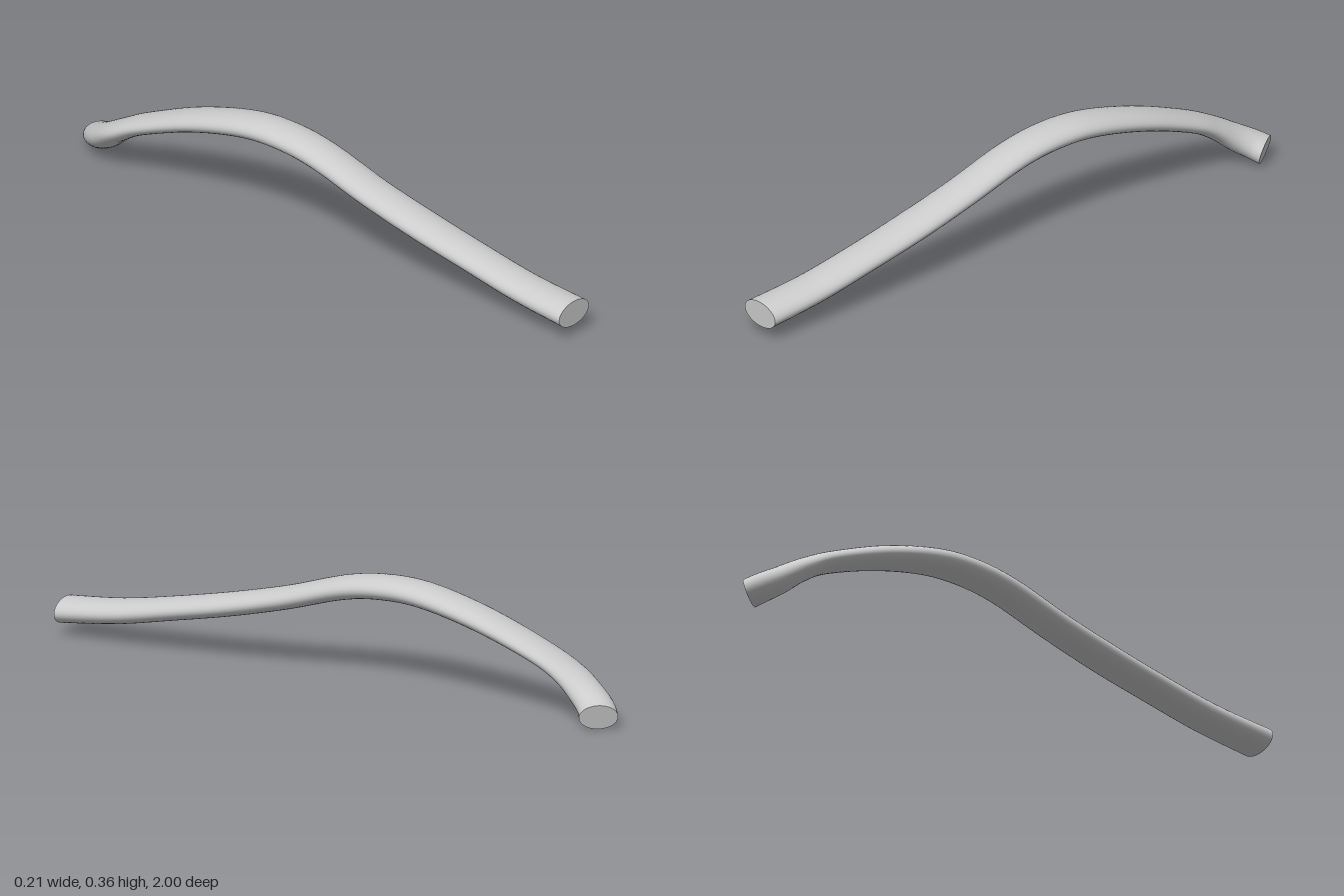
import * as THREE from 'three';

// Stations along the bar: x, y, z, half width, half height, yaw and pitch in degrees
const STATIONS = [
  [-0.031, 0.079, 1.0, 0.073, 0.041, 0, 0],
  [-0.027, 0.103, 0.8, 0.070, 0.038, 0, 9],
  [-0.024, 0.143, 0.6, 0.069, 0.036, 0, 12],
  [-0.023, 0.187, 0.4, 0.070, 0.036, 0, 14],
  [-0.023, 0.239, 0.2, 0.068, 0.036, 0, 16],
  [-0.021, 0.301, 0.0, 0.068, 0.037, 0, 13],
  [-0.019, 0.323, -0.15, 0.069, 0.038, 0, 0],
  [-0.017, 0.316, -0.3, 0.070, 0.037, 0, -8],
  [-0.016, 0.268, -0.5, 0.070, 0.034, 0, -18],
  [-0.018, 0.193, -0.7, 0.068, 0.031, 2, -24],
  [-0.016, 0.140, -0.8, 0.066, 0.034, 9, -29],
  [0.004, 0.093, -0.87, 0.061, 0.040, 26, -30],
  [0.033, 0.064, -0.918, 0.060, 0.042, 45, -22],
  [0.066, 0.046, -0.946, 0.061, 0.042, 55, -14],
];
const SIDES = 32, STEPS = 78;

// Smooth interpolation of a whole station row
function stationAt(t) {
  const last = STATIONS.length - 1;
  const i = Math.min(Math.floor(t * last), last - 1);
  const f = t * last - i;
  const row = (k) => STATIONS[Math.max(0, Math.min(last, k))];
  return row(i).map((b, c) => {
    const a = row(i - 1)[c], d = row(i + 1)[c], e = row(i + 2)[c];
    return b + 0.5 * f * (d - a + f * (2 * a - 5 * b + 4 * d - e + f * (3 * (b - d) + e - a)));
  });
}

// Oval ring of points, turned to face along the bar
function ringAt(t) {
  const [x, y, z, w, h, yaw, pitch] = stationAt(t);
  const turn = new THREE.Euler(
    THREE.MathUtils.degToRad(pitch), THREE.MathUtils.degToRad(-yaw), 0, 'YXZ');
  const centre = new THREE.Vector3(x, y, z);
  const points = [];
  for (let j = 0; j <= SIDES; j++) {
    const a = (j / SIDES) * Math.PI * 2;
    points.push(new THREE.Vector3(w * Math.cos(a), h * Math.sin(a), 0).applyEuler(turn).add(centre));
  }
  return { centre, points, normal: new THREE.Vector3(0, 0, -1).applyEuler(turn) };
}

// Skin lofted through the rings, with seam normals joined
function loft() {
  const pos = [], index = [];
  const n = SIDES + 1;
  for (let i = 0; i <= STEPS; i++) {
    for (const p of ringAt(i / STEPS).points) pos.push(p.x, p.y, p.z);
  }
  for (let i = 0; i < STEPS; i++) {
    for (let j = 0; j < SIDES; j++) {
      const a = i * n + j, b = a + 1, c = a + n, d = c + 1;
      index.push(a, c, b, b, c, d);
    }
  }
  const g = new THREE.BufferGeometry();
  g.setAttribute('position', new THREE.Float32BufferAttribute(pos, 3));
  g.setIndex(index);
  g.computeVertexNormals();
  const nor = g.attributes.normal;
  for (let i = 0; i <= STEPS; i++) {
    const a = i * n, b = a + SIDES;
    const v = new THREE.Vector3().fromBufferAttribute(nor, a)
      .add(new THREE.Vector3().fromBufferAttribute(nor, b)).normalize();
    nor.setXYZ(a, v.x, v.y, v.z);
    nor.setXYZ(b, v.x, v.y, v.z);
  }
  return g;
}

// Flat oval cap closing one end
function cap(t) {
  const { centre, points } = ringAt(t);
  const pos = [];
  for (let j = 0; j < SIDES; j++) {
    const pair = t === 0 ? [points[j], points[j + 1]] : [points[j + 1], points[j]];
    for (const p of [centre, ...pair]) pos.push(p.x, p.y, p.z);
  }
  const g = new THREE.BufferGeometry();
  g.setAttribute('position', new THREE.Float32BufferAttribute(pos, 3));
  g.computeVertexNormals();
  return g;
}

export function createModel() {
  const group = new THREE.Group();
  group.name = 'curvedBar';
  const material = new THREE.MeshStandardMaterial({ color: 0xcccccc });
  const add = (name, geometry) => {
    const mesh = new THREE.Mesh(geometry, material);
    mesh.name = name;
    group.add(mesh);
  };
  add('shaft', loft());
  add('frontEnd', cap(0));
  add('hookedEnd', cap(1));
  return group;
}
